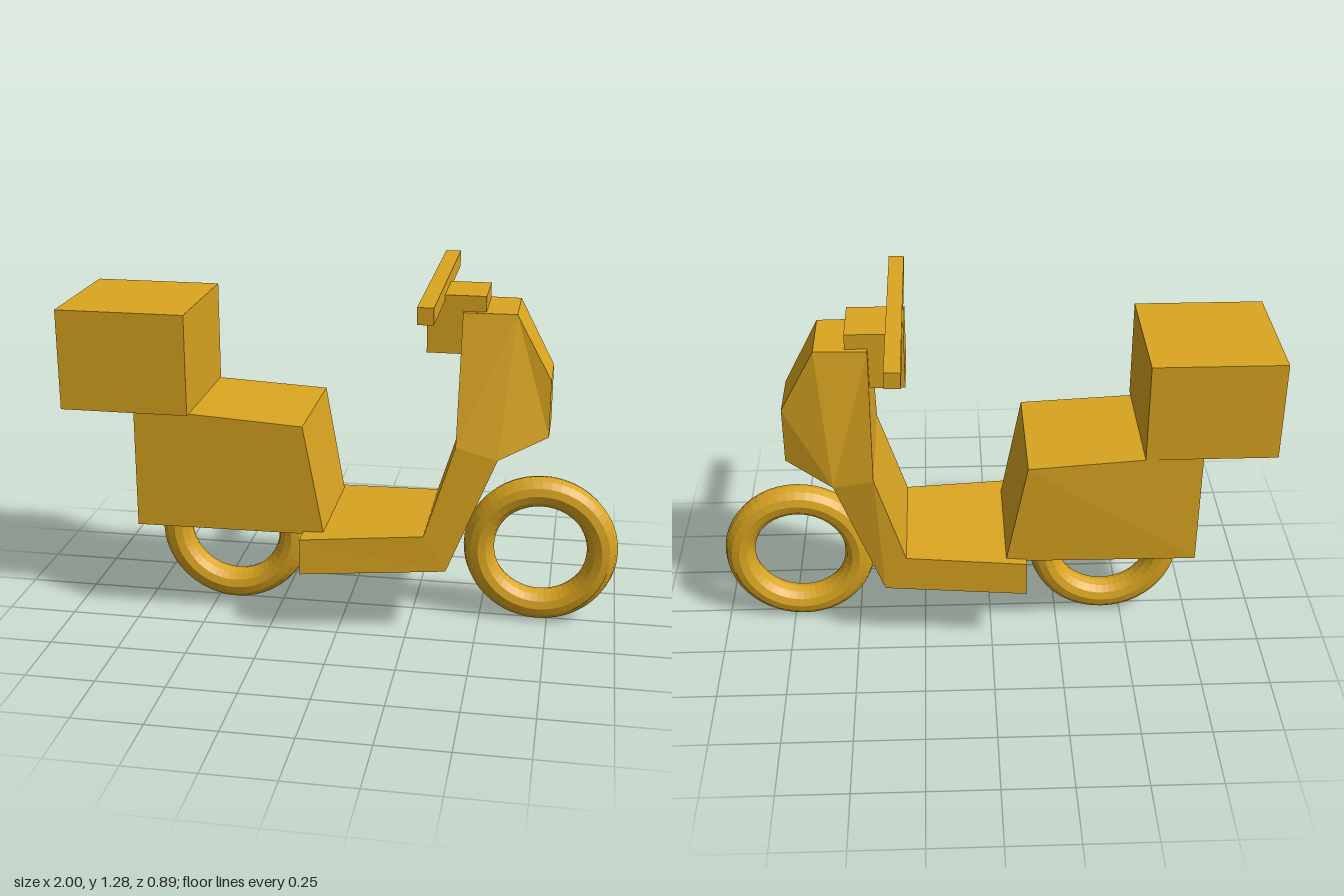
import * as THREE from 'three';

const material = new THREE.MeshStandardMaterial({ color: 0xdaa520, flatShading: true });

function addMesh(group, name, geometry, x = 0, y = 0, z = 0) {
  const mesh = new THREE.Mesh(geometry, material);
  mesh.name = name;
  mesh.position.set(x, y, z);
  group.add(mesh);
  return mesh;
}

// Box given by its limits on each axis
function addBox(group, name, [x0, x1], [y0, y1], [z0, z1]) {
  return addMesh(group, name, new THREE.BoxGeometry(x1 - x0, y1 - y0, z1 - z0),
    (x0 + x1) / 2, (y0 + y1) / 2, (z0 + z1) / 2);
}

// Four-cornered section from two edges [x, y, left z, right z]
function section(a, b) {
  return [[a[0], a[1], a[2]], [a[0], a[1], a[3]], [b[0], b[1], b[3]], [b[0], b[1], b[2]]];
}

// Closed faceted solid through a run of four-cornered sections
function loft(sections) {
  const positions = [];
  const quad = (a, b, c, d) => [a, b, c, a, c, d].forEach((p) => positions.push(...p));
  const first = sections[0];
  const last = sections[sections.length - 1];
  quad(first[3], first[2], first[1], first[0]);
  quad(...last);
  for (let s = 0; s < sections.length - 1; s++) {
    for (let i = 0; i < 4; i++) {
      const j = (i + 1) % 4;
      quad(sections[s][i], sections[s][j], sections[s + 1][j], sections[s + 1][i]);
    }
  }
  const geometry = new THREE.BufferGeometry();
  geometry.setAttribute('position', new THREE.Float32BufferAttribute(positions, 3));
  geometry.computeVertexNormals();
  return geometry;
}

export function createModel() {
  const scooter = new THREE.Group();
  scooter.name = 'scooter';

  // Tyres, leaning very slightly
  for (const [name, x] of [['rearWheel', -0.43], ['frontWheel', 0.715]]) {
    const wheel = addMesh(scooter, name, new THREE.TorusGeometry(0.225, 0.056, 12, 48), x, 0.285, 0);
    wheel.rotation.x = 0.025;
  }

  // Rear body with the seat on top
  addMesh(scooter, 'seatBody', loft([
    section([-0.74, 0.37, 0.225, -0.225], [-0.74, 0.815, 0.22, -0.23]),
    section([-0.05, 0.375, 0.225, -0.225], [-0.125, 0.78, 0.225, -0.245]),
  ]));

  // Delivery box
  addBox(scooter, 'cargoBox', [-1, -0.535], [0.805, 1.17], [-0.238, 0.248]);

  // Footboard bending up into the leg shield: outer edge, then inner edge
  addMesh(scooter, 'footboardAndLegShield', loft([
    section([-0.125, 0.25, 0.303, -0.26], [-0.125, 0.383, 0.303, -0.26]),
    section([0.39, 0.265, 0.225, -0.225], [0.31, 0.4, 0.24, -0.23]),
    section([0.56, 0.685, 0.195, -0.19], [0.415, 0.735, 0.225, -0.23]),
    section([0.605, 1.19, 0.12, -0.12], [0.42, 1.19, 0.125, -0.125]),
  ]));

  // Tapered front fairing
  addMesh(scooter, 'frontFairing', loft([
    section([0.56, 0.685, 0.195, -0.19], [0.605, 1.19, 0.12, -0.12]),
    section([0.73, 0.75, 0.105, -0.105], [0.73, 0.955, 0.105, -0.105]),
  ]));

  // Steering head and handlebar
  addBox(scooter, 'steeringHead', [0.295, 0.498], [1.038, 1.245], [-0.105, 0.105]);
  addBox(scooter, 'handlebar', [0.3, 0.355], [1.225, 1.283], [-0.445, 0.445]);

  return scooter;
}
